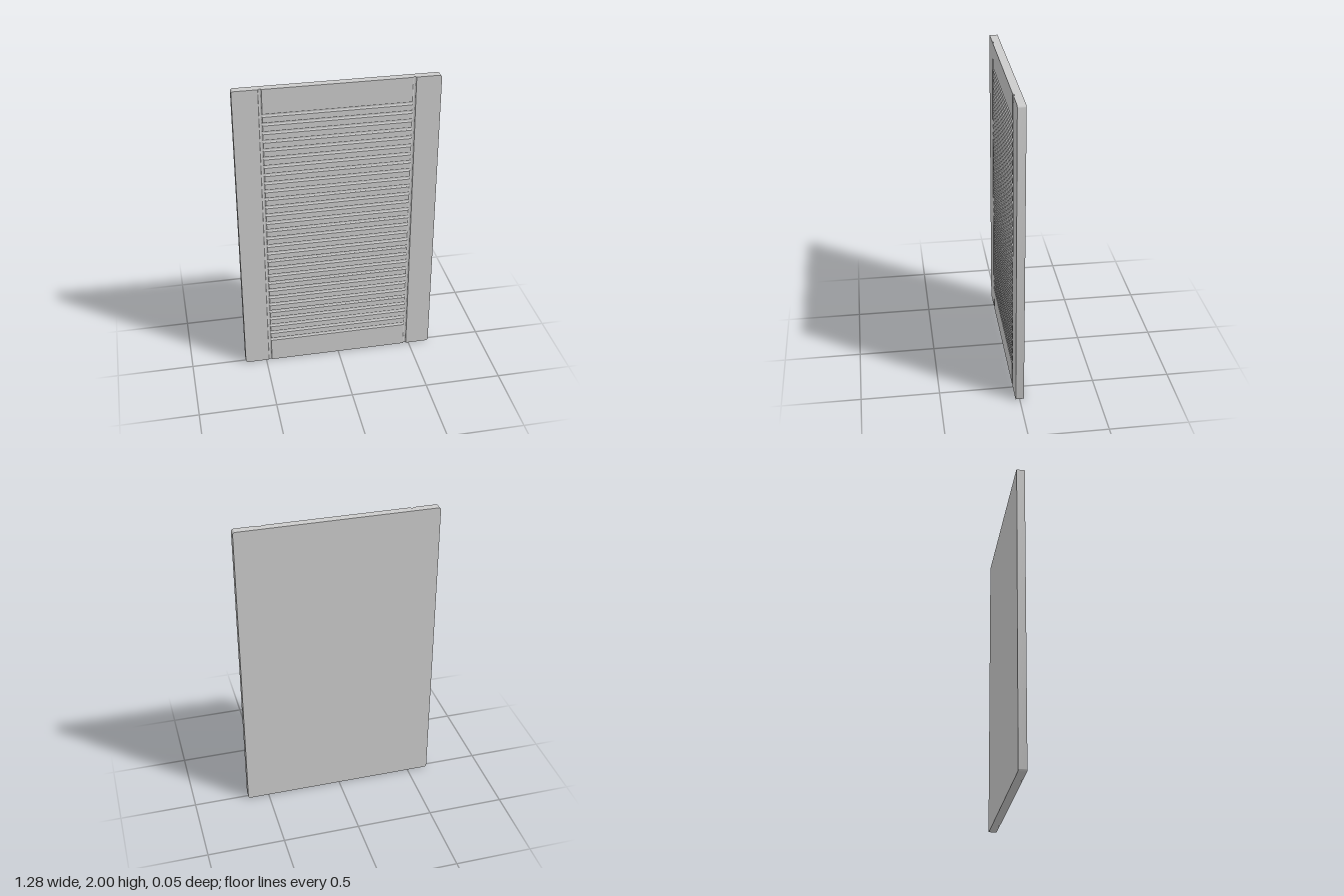
import * as THREE from 'three';
import { toCreasedNormals } from 'three/addons/utils/BufferGeometryUtils.js';

const W = 0.641, H = 2, Z = 0.026;         // half width, height, half thickness
const SPLIT = 0.5;                         // where the grooved centre meets the plain stiles
const GX = 0.472, HALF = 0.0105, DEPTH = 0.009, STEPS = 8;
const ROWS = 30, Y0 = 0.17, Y1 = 1.83;

// Samples across one round-bottomed groove: position and depth
function grooveSamples(center) {
  return Array.from({ length: STEPS + 1 }, (_, i) => {
    const a = Math.PI * i / STEPS;
    return { p: center - Math.cos(a) * HALF, d: Math.sin(a) * DEPTH };
  });
}

// Grooved front: a grid lowered by the deeper of the two crossing grooves
function grooveFace(xs, ys) {
  const geo = new THREE.PlaneGeometry(1, 1, xs.length - 1, ys.length - 1);
  const pos = geo.attributes.position;
  let n = 0;
  for (let j = ys.length - 1; j >= 0; j--) {
    for (const x of xs) {
      const across = Math.abs(x.p) < GX + 1e-6 ? ys[j].d : 0;
      pos.setXYZ(n++, x.p, ys[j].p, Z - Math.max(x.d, across));
    }
  }
  return toCreasedNormals(geo, 0.5);
}

export function createModel() {
  const group = new THREE.Group();
  const material = new THREE.MeshStandardMaterial({ color: 0xcccccc });
  const add = (name, geo) => {
    const mesh = new THREE.Mesh(geo, material);
    mesh.name = name;
    group.add(mesh);
    return mesh;
  };

  // Centre panel with louvre-style grooves
  const xs = [{ p: -SPLIT, d: 0 }, ...grooveSamples(-GX), ...grooveSamples(GX), { p: SPLIT, d: 0 }];
  const ys = [{ p: 0, d: 0 }];
  for (let i = 0; i < ROWS; i++) ys.push(...grooveSamples(Y0 + (Y1 - Y0) * i / (ROWS - 1)));
  ys.push({ p: H, d: 0 });
  add('louvredFront', grooveFace(xs, ys));

  // Back of the centre panel
  const back = new THREE.PlaneGeometry(2 * SPLIT, H);
  back.rotateY(Math.PI).translate(0, H / 2, -Z);
  add('panelBack', back);

  // Top and bottom edges, notched where the vertical grooves run out
  const edge = (sign) => new THREE.ShapeGeometry(new THREE.Shape([
    new THREE.Vector2(-SPLIT, -sign * -Z),
    ...xs.map((x) => new THREE.Vector2(x.p, -sign * (Z - x.d))),
    new THREE.Vector2(SPLIT, -sign * -Z),
  ]));
  add('topEdge', edge(1).rotateX(-Math.PI / 2).translate(0, H, 0));
  add('bottomEdge', edge(-1).rotateX(Math.PI / 2));

  // Plain stiles with rounded outer corners
  const r = 0.016, w = W - SPLIT;
  const outline = new THREE.Shape();
  outline.moveTo(0, 0);
  outline.lineTo(w - r, 0);
  outline.absarc(w - r, r, r, -Math.PI / 2, 0);
  outline.lineTo(w, H - r);
  outline.absarc(w - r, H - r, r, 0, Math.PI / 2);
  outline.lineTo(0, H);
  outline.closePath();
  for (const side of [1, -1]) {
    const geo = new THREE.ExtrudeGeometry(outline, { depth: 2 * Z, bevelEnabled: false, curveSegments: 6 });
    geo.translate(0, 0, -Z);
    if (side < 0) geo.rotateY(Math.PI);
    geo.translate(side * SPLIT, 0, 0);
    add(side > 0 ? 'leftStile' : 'rightStile', toCreasedNormals(geo, 0.5));
  }
  return group;
}
